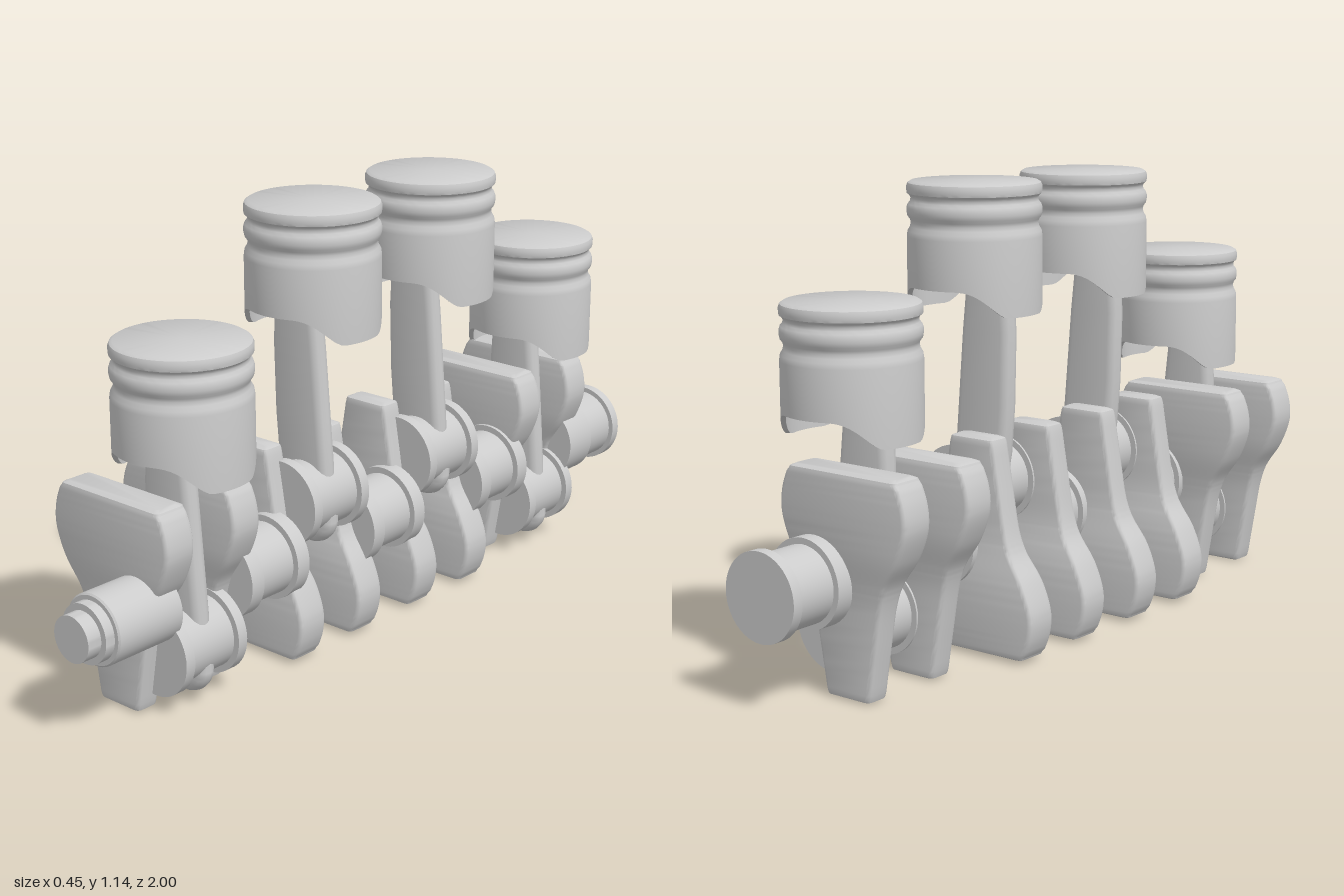
import * as THREE from 'three';
import { toCreasedNormals } from 'three/addons/utils/BufferGeometryUtils.js';

const material = new THREE.MeshStandardMaterial({ color: 0xcccccc });
const AXIS_X = 0.045, AXIS_Y = 0.27, THROW = 0.122, WEB_X = -0.038;
const PISTON_X = 0.06, FIRST_Z = 0.652, SPACING = 0.442;

function mesh(name, geometry, parent, crease = 0.6) {
  const m = new THREE.Mesh(toCreasedNormals(geometry, crease), material);
  m.name = name;
  parent.add(m);
  return m;
}

// Stack of rounded rectangles; each row is { y, x, w, z, d, r } (centres and half sizes)
function loft(rows) {
  const pos = [], index = [], N = 16;
  for (const { y, x, w, z, d, r } of rows) {
    for (let q = 0; q < 4; q++) {
      const sx = q === 0 || q === 3 ? 1 : -1, sz = q < 2 ? 1 : -1;
      for (let k = 0; k < 4; k++) {
        const a = (q + k / 3) * Math.PI / 2;
        pos.push(x + sx * (w - r) + r * Math.cos(a), y, z + sz * (d - r) + r * Math.sin(a));
      }
    }
  }
  const last = (rows.length - 1) * N;
  for (let i = 0; i < rows.length - 1; i++) {
    for (let j = 0; j < N; j++) {
      const a = i * N + j, b = i * N + (j + 1) % N;
      index.push(a, a + N, b, b, a + N, b + N);
    }
  }
  for (let j = 1; j < N - 1; j++) {
    index.push(0, j, j + 1, last, last + j + 1, last + j);
  }
  const g = new THREE.BufferGeometry();
  g.setAttribute('position', new THREE.Float32BufferAttribute(pos, 3));
  g.setIndex(index);
  return g;
}

// Turned part along z from [z, radius] pairs in rising z
function turned(name, profile, x, y, z, parent) {
  const pts = [[profile[0][0], 0], ...profile, [profile[profile.length - 1][0], 0]];
  const g = new THREE.LatheGeometry(pts.map(([h, r]) => new THREE.Vector2(r, h)), 48);
  g.rotateX(Math.PI / 2);
  mesh(name, g, parent).position.set(x, y, z);
}

// Journal with a collar at each end
const journal = (half, inner) => [
  [-half, 0.108], [-inner, 0.108], [-inner, 0.092], [inner, 0.092], [inner, 0.108], [half, 0.108],
];

// Counterweight web: broad at the top, narrow at the bottom, pin side facing -z
function webGeometry() {
  const curve = new THREE.CatmullRomCurve3([
    [0.066, -0.268], [0.086, -0.15], [0.107, -0.035], [0.122, 0.01], [0.163, 0.075],
    [0.19, 0.15], [0.186, 0.205], [0.163, 0.263],
  ].map(([w, y]) => new THREE.Vector3(w, y, 0)));
  const pts = curve.getPoints(42), b = 0.012;
  const rows = pts.map(({ x: w, y }) => {
    const s = 1 - THREE.MathUtils.smoothstep(y, -0.06, 0.1);
    return { y, x: 0, w, z: 0.002 * s, d: 0.045 - 0.013 * s, r: b };
  });
  // rounded rims at both ends
  const rim = (row, dy) => [0, 0.5, 1].map((t) => {
    const inset = b * (1 - Math.sqrt(1 - (1 - t) ** 2));
    return { ...row, y: row.y + dy * (1 - t), w: row.w - inset, d: row.d - inset };
  });
  const first = rows.shift(), top = rows.pop();
  return loft([
    ...rim({ ...first, y: first.y + 0.008 }, -0.01), ...rows.filter((r) => r.y > -0.255 && r.y < 0.25),
    ...rim({ ...top, y: top.y - 0.01 }, 0.01).reverse(),
  ]);
}

// Hollow piston, crown at y = 0, skirt longest towards +x and -x
function pistonGeometry() {
  const R = 0.165, low = -0.32, inner = 0.153;
  const profile = [
    [0, -0.05], [inner - 0.01, -0.05], [inner, -0.06], [inner, low], [R, low], [R, -0.135],
    [0.163, -0.122], [0.157, -0.112], [0.155, -0.102], [0.157, -0.094], [0.163, -0.086],
    [R, -0.076], [R, -0.066], [0.162, -0.057], [0.156, -0.05], [0.155, -0.042], [0.158, -0.036],
    [0.164, -0.031], [R, -0.024], [R, -0.014], [0.162, -0.006], [0.154, -0.001], [0, 0],
  ].map(([r, y]) => new THREE.Vector2(r, y));
  const g = new THREE.LatheGeometry(profile, 72);
  const p = g.attributes.position;
  for (let i = 0; i < p.count; i++) {
    if (p.getY(i) > low + 0.001) continue;
    const side = Math.abs(p.getZ(i)) / Math.hypot(p.getX(i), p.getZ(i));
    p.setY(i, low + 0.065 * THREE.MathUtils.smoothstep(side, 0.35, 0.92));
  }
  return g;
}

// Flat oval rod, y = 0 at the crank pin
function rodGeometry() {
  return loft([
    [-0.02, 0.045, 0.07], [0.08, 0.035, 0.08], [0.2, 0.025, 0.08], [0.38, 0.015, 0.075],
    [0.49, 0.012, 0.066], [0.6, 0.015, 0.06], [0.7, 0.02, 0.06],
  ].map(([y, x, w]) => ({ y, x, w, z: 0, d: 0.026, r: 0.022 })));
}

export function createModel() {
  const group = new THREE.Group();
  group.name = 'crankshaftWithPistons';
  const web = webGeometry(), piston = pistonGeometry(), rod = rodGeometry();

  for (let i = 0; i < 4; i++) {
    const cylinder = new THREE.Group();
    cylinder.name = 'cylinder' + (i + 1);
    cylinder.position.z = FIRST_Z - i * SPACING;
    group.add(cylinder);

    // outer pair of pins down, inner pair up
    const up = i === 1 || i === 2;
    const pinY = AXIS_Y + (up ? THROW : -THROW);
    turned('crankPin', journal(0.1, 0.072), AXIS_X, pinY, 0, cylinder);

    for (const side of [1, -1]) {
      const w = mesh('counterweight', web, cylinder);
      w.position.set(WEB_X, AXIS_Y, side * 0.107);
      // order: turn to face the pin, then turn the broad end down when the pin is up
      w.rotation.set(0, side > 0 ? 0 : Math.PI, up ? Math.PI : 0, 'ZYX');
    }

    mesh('connectingRod', rod, cylinder, 0.8).position.y = pinY;
    // rounded cap under the crank pin
    turned('rodCap', [[-0.026, 0.045], [-0.022, 0.06], [-0.012, 0.069], [0, 0.072],
      [0.012, 0.069], [0.022, 0.06], [0.026, 0.045]], 0.058, pinY - 0.052, 0, cylinder);
    mesh('piston', piston, cylinder).position.set(PISTON_X, pinY + 0.747, 0);

    // main bearing between neighbouring cylinders
    if (i < 3) turned('mainJournal', journal(0.1, 0.059), AXIS_X, AXIS_Y, -SPACING / 2, cylinder);
  }

  // stepped nose at the front and flanged stub at the back
  turned('frontNose', [[0.74, 0.088], [0.932, 0.088], [0.936, 0.084], [0.936, 0.073], [0.962, 0.073],
    [0.962, 0.057], [1, 0.057]], AXIS_X, AXIS_Y, 0, group);
  turned('rearStub', [[-1, 0.106], [-0.973, 0.106], [-0.973, 0.093], [-0.862, 0.093],
    [-0.862, 0.108], [-0.76, 0.108]], AXIS_X, AXIS_Y, 0, group);
  return group;
}
